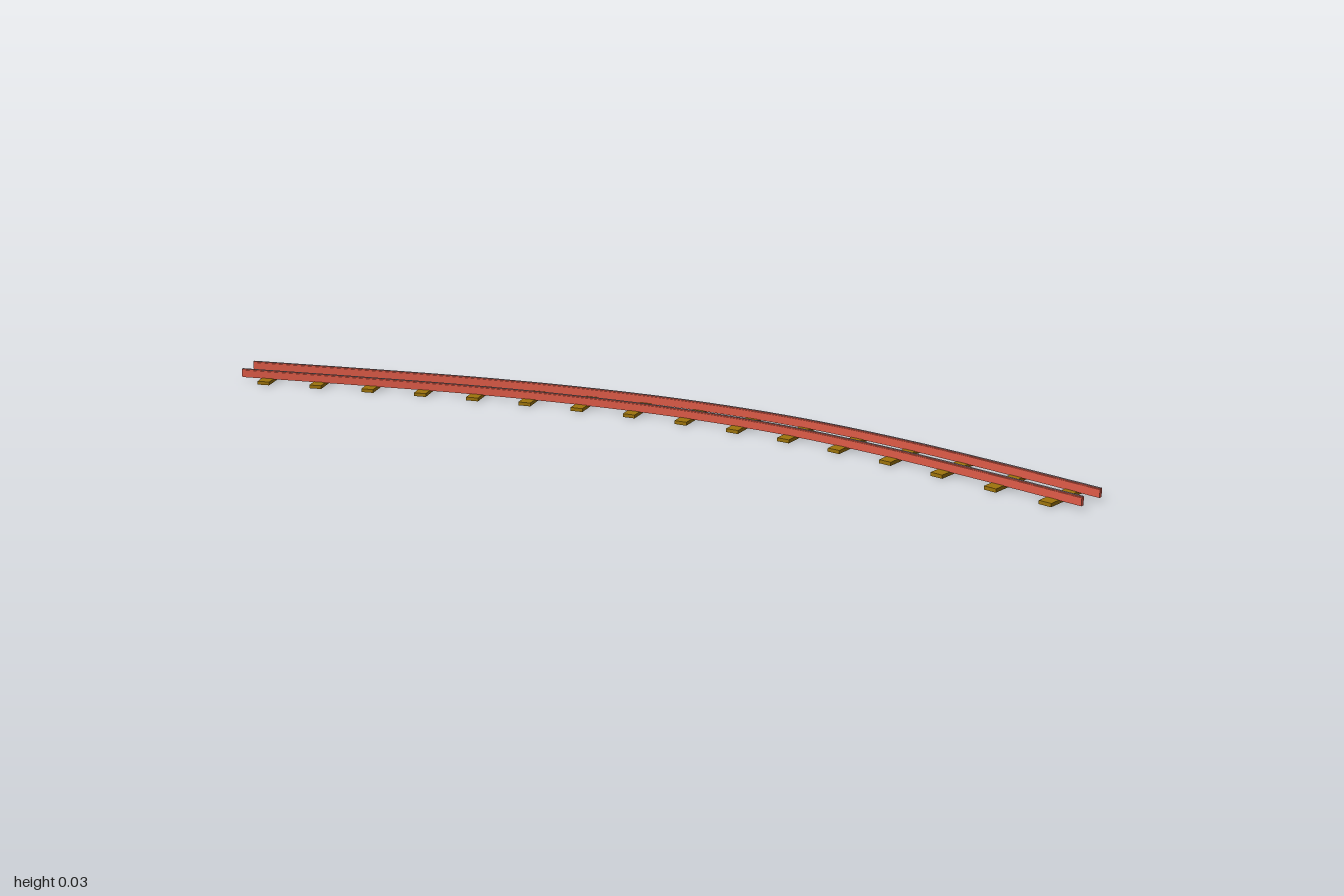
import * as THREE from 'three';

const SEGMENTS = 64;
const TIES = 16;
const GAUGE_HALF = 0.034;

// Rail cross-section (sideways, up), anticlockwise: body with a slimmer running head
const PROFILE = [
  [-0.004, 0.007], [0.004, 0.007], [0.004, 0.0245], [0.003, 0.0248], [0.003, 0.027],
  [-0.003, 0.027], [-0.003, 0.0248], [-0.004, 0.0245],
].map(([u, v]) => new THREE.Vector2(u, v));
const TOP_EDGE = 4;

// Centre line: straight, easing into a left-hand bend, then straight again
const path = new THREE.CatmullRomCurve3([
  [0.263, 1], [0.263, 0.796], [0.256, 0.53], [0.228, 0.268], [0.169, 0.014],
  [0.082, -0.234], [-0.023, -0.47], [-0.144, -0.702], [-0.298, -0.982],
].map(([x, z]) => new THREE.Vector3(x, 0, z)));
path.arcLengthDivisions = 800;

const UP = new THREE.Vector3(0, 1, 0);

function frameAt(t) {
  const tangent = path.getTangentAt(t).setY(0).normalize();
  return { point: path.getPointAt(t), tangent, side: tangent.clone().cross(UP) };
}

// Sweep the chosen profile edges along the path, shifted sideways by offset
function sweep(offset, edges, capped) {
  const rings = [];
  for (let k = 0; k <= SEGMENTS; k++) {
    const { point, side } = frameAt(k / SEGMENTS);
    rings.push(PROFILE.map((p) =>
      point.clone().addScaledVector(side, offset + p.x).setY(p.y)));
  }
  const positions = [];
  const tri = (a, b, c) => [a, b, c].forEach((v) => positions.push(v.x, v.y, v.z));
  for (let k = 0; k < SEGMENTS; k++) {
    for (const i of edges) {
      const j = (i + 1) % PROFILE.length;
      tri(rings[k][i], rings[k + 1][i], rings[k][j]);
      tri(rings[k][j], rings[k + 1][i], rings[k + 1][j]);
    }
  }
  if (capped) {
    const last = rings[SEGMENTS];
    for (const [a, b, c] of THREE.ShapeUtils.triangulateShape(PROFILE, [])) {
      tri(rings[0][a], rings[0][b], rings[0][c]);
      tri(last[a], last[c], last[b]);
    }
  }
  const geometry = new THREE.BufferGeometry();
  geometry.setAttribute('position', new THREE.Float32BufferAttribute(positions, 3));
  geometry.computeVertexNormals();
  return geometry;
}

export function createModel() {
  const rust = new THREE.MeshStandardMaterial({ color: 0xe05c48 });
  rust.name = 'rustRed';
  const steel = new THREE.MeshStandardMaterial({ color: 0x85787e });
  steel.name = 'wornSteel';
  const wood = new THREE.MeshStandardMaterial({ color: 0x9e740c });
  wood.name = 'tieWood';

  const model = new THREE.Group();
  model.name = 'curvedTrack';

  // Two rails, each with a worn running surface
  const bodyEdges = PROFILE.map((_, i) => i).filter((i) => i !== TOP_EDGE);
  for (const [name, sign] of [['leftRail', 1], ['rightRail', -1]]) {
    const rail = new THREE.Group();
    rail.name = name;
    const body = new THREE.Mesh(sweep(sign * GAUGE_HALF, bodyEdges, true), rust);
    body.name = 'railBody';
    const top = new THREE.Mesh(sweep(sign * GAUGE_HALF, [TOP_EDGE], false), steel);
    top.name = 'railTop';
    rail.add(body, top);
    model.add(rail);
  }

  // Evenly spaced cross ties, square to the path
  const ties = new THREE.Group();
  ties.name = 'ties';
  const tieGeometry = new THREE.BoxGeometry(0.133, 0.008, 0.029);
  for (let i = 0; i < TIES; i++) {
    const { point, tangent } = frameAt((i + 0.5) / TIES);
    const tie = new THREE.Mesh(tieGeometry, wood);
    tie.name = 'tie';
    tie.position.set(point.x, 0.004, point.z);
    tie.rotation.y = Math.atan2(tangent.x, tangent.z);
    ties.add(tie);
  }
  model.add(ties);
  return model;
}
